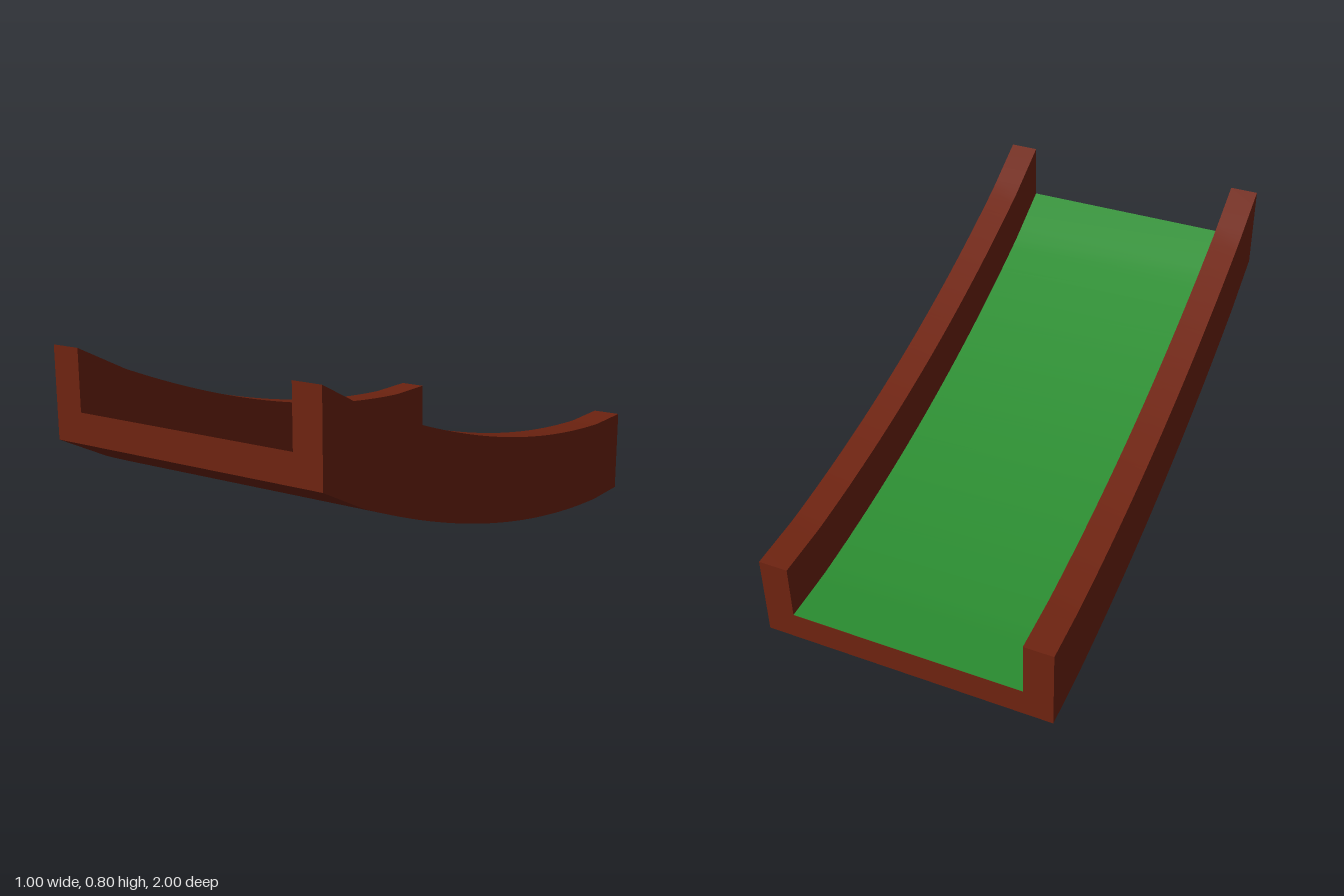
import * as THREE from 'three';
import { toCreasedNormals } from 'three/addons/utils/BufferGeometryUtils.js';

// Height of the underside along z: straight run-in and run-out, parabolic between
function rise(z) {
  const mid = (t) => 0.1086 * t * t + 0.248 * t + 0.132;
  if (z < -0.8) return mid(-0.8) * (z + 1) / 0.2;
  if (z > 0.8) return THREE.MathUtils.lerp(mid(0.8), 0.5, (z - 0.8) / 0.2);
  return mid(z);
}

// Lifts every vertex by the slope height at its z
function bend(geometry) {
  const p = geometry.attributes.position;
  for (let i = 0; i < p.count; i++) p.setY(i, p.getY(i) + rise(p.getZ(i)));
  return toCreasedNormals(geometry, 0.4);
}

export function createModel() {
  const group = new THREE.Group();
  group.name = 'curvedRamp';

  // U-shaped channel: base with a wall along each side
  const profile = new THREE.Shape([
    [-0.5, 0], [0.5, 0], [0.5, 0.3], [0.4, 0.3],
    [0.4, 0.1], [-0.4, 0.1], [-0.4, 0.3], [-0.5, 0.3],
  ].map(([x, y]) => new THREE.Vector2(x, y)));
  const channel = new THREE.ExtrudeGeometry(profile, { depth: 2, steps: 40, bevelEnabled: false });
  channel.translate(0, 0, -1);
  const frame = new THREE.Mesh(bend(channel), new THREE.MeshStandardMaterial({ color: 0x6e2310 }));
  frame.name = 'channel';

  // Green running surface laid on the channel floor
  const surface = new THREE.PlaneGeometry(0.8, 2, 1, 40);
  surface.rotateX(-Math.PI / 2).translate(0, 0.101, 0);
  const floor = new THREE.Mesh(bend(surface), new THREE.MeshStandardMaterial({ color: 0x2a8c30 }));
  floor.name = 'floorSurface';

  group.add(frame, floor);
  return group;
}
